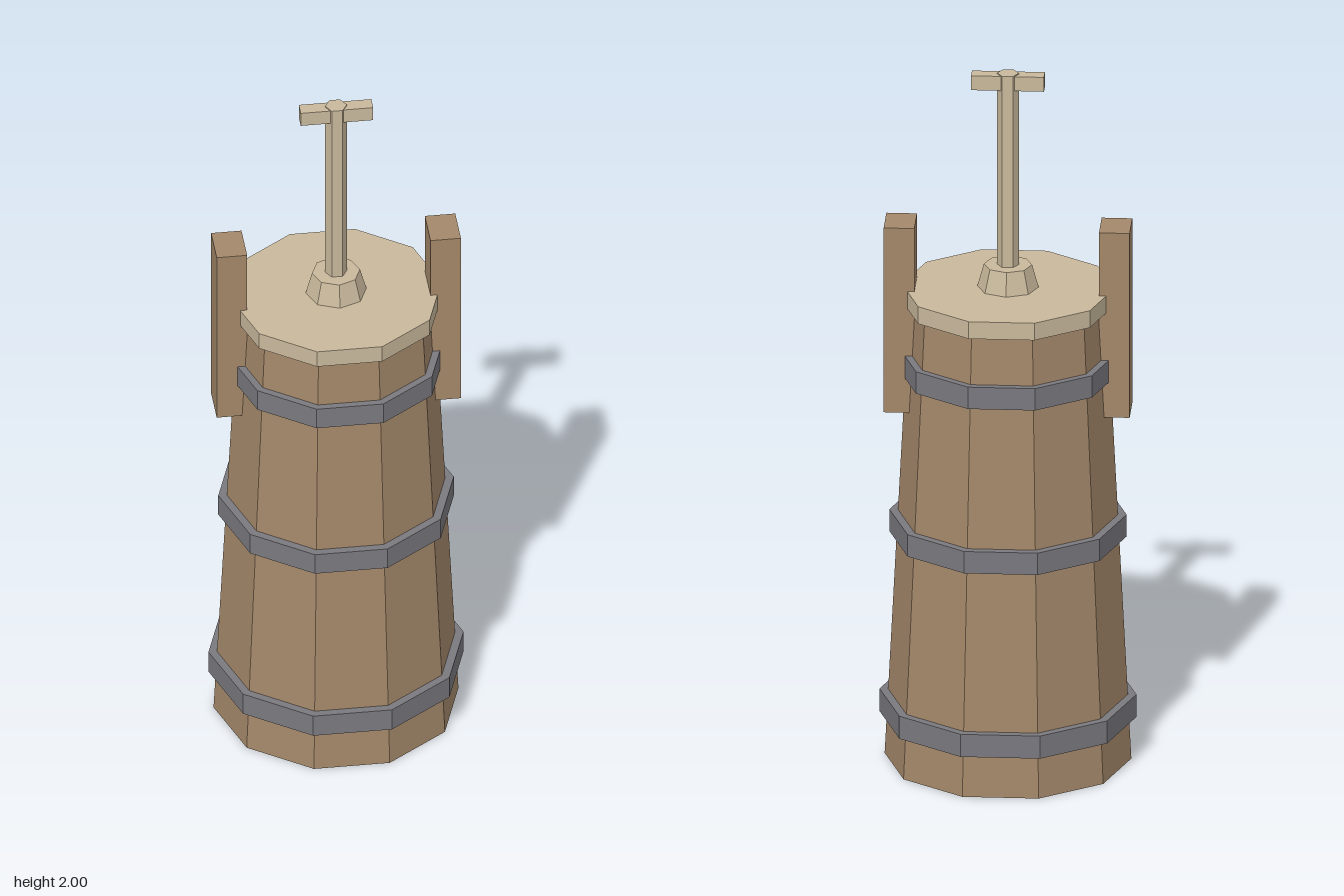
import * as THREE from 'three';

const mat = (name, color) => {
  const m = new THREE.MeshStandardMaterial({ color, flatShading: true });
  m.name = name;
  return m;
};

export function createModel() {
  const model = new THREE.Group();
  model.name = 'churn';
  const wood = mat('wood', 0xa4886a);
  const paleWood = mat('paleWood', 0xc9b99c);
  const iron = mat('iron', 0x7a797f);

  const add = (name, geometry, material, x, y) => {
    const mesh = new THREE.Mesh(geometry, material);
    mesh.name = name;
    mesh.position.set(x, y, 0);
    model.add(mesh);
  };
  // Upright prism spanning y0..y1; turn rotates its corners about the axis
  const prism = (name, material, rBottom, rTop, y0, y1, sides, turn) => {
    const g = new THREE.CylinderGeometry(rTop, rBottom, y1 - y0, sides);
    g.rotateY(turn);
    add(name, g, material, 0, (y0 + y1) / 2);
  };
  const quarter = Math.PI / 2;

  // Tapered ten-sided barrel and its lid
  prism('barrel', wood, 0.338, 0.27, 0, 1.33, 10, quarter);
  prism('lid', paleWood, 0.291, 0.291, 1.325, 1.375, 10, quarter);

  // Iron hoops
  [[0.352, 0.122, 0.188], [0.325, 0.65, 0.714], [0.298, 1.122, 1.186]].forEach(([r, y0, y1], i) =>
    prism(`hoop${i + 1}`, iron, r, r, y0, y1, 10, quarter));

  // Side grips
  for (const [name, side] of [['leftGrip', 1], ['rightGrip', -1]]) {
    add(name, new THREE.BoxGeometry(0.084, 0.54, 0.116), wood, side * 0.295, 1.29);
  }

  // Plunger: collar, hexagonal rod and crossbar
  prism('collar', paleWood, 0.084, 0.066, 1.375, 1.44, 8, 0);
  prism('plungerRod', paleWood, 0.03, 0.03, 1.37, 2, 6, quarter);
  add('crossbar', new THREE.BoxGeometry(0.2, 0.042, 0.04), paleWood, 0, 1.976);

  return model;
}
